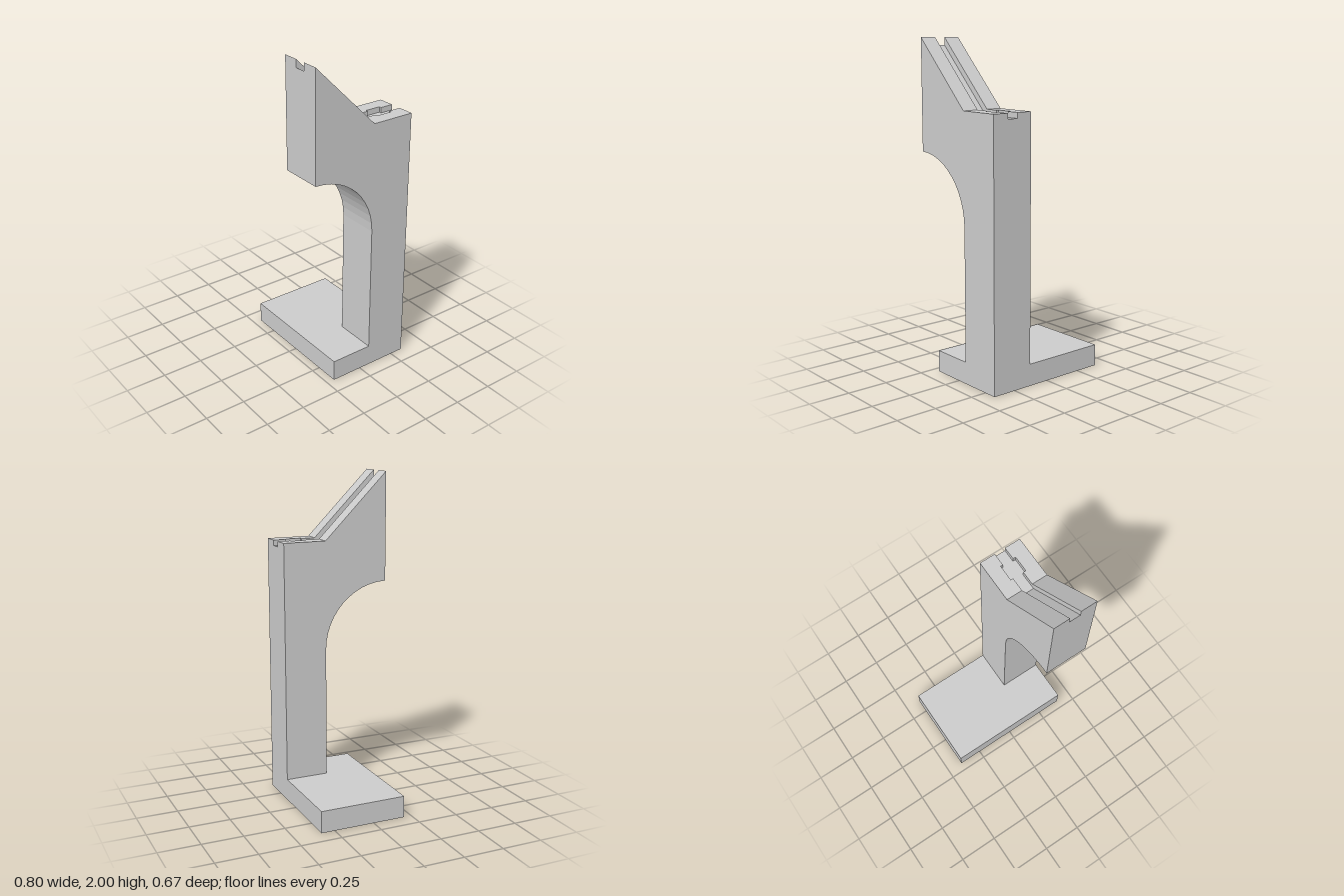
import * as THREE from 'three';
import { mergeGeometries } from 'three/addons/utils/BufferGeometryUtils.js';

const BACK = -0.333, FRONT = 0.333, POST = -0.067; // z of rear face, arm tip, post front
const BASE = 0.133, LEDGE = 1.6, TOP = 2, FLOOR = 1.567; // heights
const PZ0 = -0.253, PZ1 = -0.153; // pocket ends
const FULL = [[FRONT, TOP], [POST, LEDGE], [BACK, LEDGE]];
const POCKET = [[FRONT, TOP], [POST, LEDGE], [PZ1, LEDGE], [PZ1, FLOOR], [PZ0, FLOOR], [PZ0, LEDGE], [BACK, LEDGE]];
const GROOVE = [[FRONT, 1.953], [-0.053, FLOOR], [BACK, FLOOR]];

// Side outline [z, y]: post front, quarter-round under the arm, given top, rear face
function outline(top) {
  const pts = [[POST, BASE]];
  const steps = 12;
  for (let i = 0; i <= steps; i++) {
    const a = Math.PI - (Math.PI / 2) * (i / steps);
    pts.push([FRONT + 0.4 * Math.cos(a), 0.933 + 0.4 * Math.sin(a)]);
  }
  return [...pts, ...top, [BACK, BASE]];
}

// Outer skin of one strip of the post between two x positions
function skin(pts, x0, x1) {
  const pos = [];
  for (let i = 0; i < pts.length - 1; i++) {
    const [az, ay] = pts[i], [bz, by] = pts[i + 1];
    pos.push(x0, ay, az, x1, ay, az, x1, by, bz, x0, ay, az, x1, by, bz, x0, by, bz);
  }
  const geo = new THREE.BufferGeometry();
  geo.setAttribute('position', new THREE.Float32BufferAttribute(pos, 3));
  geo.computeVertexNormals();
  return geo;
}

// Flat wall at x, facing +x or -x
function wall(pts, x, facing) {
  const geo = new THREE.ShapeGeometry(new THREE.Shape(pts.map(([z, y]) => new THREE.Vector2(z, y))));
  geo.rotateY(-Math.PI / 2).translate(x, 0, 0);
  if (facing > 0) geo.index.array.reverse();
  const flat = geo.toNonIndexed();
  flat.deleteAttribute('uv');
  flat.computeVertexNormals();
  return flat;
}

export function createModel() {
  const group = new THREE.Group();
  const material = new THREE.MeshStandardMaterial({ color: 0xcccccc, flatShading: true });
  const add = (name, geo) => {
    const mesh = new THREE.Mesh(geo, material);
    mesh.name = name;
    group.add(mesh);
  };

  // Base plate
  const base = new THREE.BoxGeometry(0.8, BASE, 0.533);
  base.translate(0, BASE / 2, -0.0665);
  add('basePlate', base);

  // Post with overhanging arm, in strips across x
  const xs = [0.133, 0.217, 0.232, 0.3, 0.317, 0.4];
  const tops = [FULL, POCKET, GROOVE, POCKET, FULL];
  const skins = tops.map((top, i) => skin(outline(top), xs[i], xs[i + 1]));
  add('postAndArm', mergeGeometries([
    ...skins,
    wall(outline(FULL), xs[0], -1),
    wall(outline(FULL), xs[5], 1),
  ]));

  // Side walls of the groove and its wider pocket
  const rear = [[BACK, FLOOR], [PZ0, FLOOR], [PZ0, LEDGE], [BACK, LEDGE]];
  const pocket = [[PZ0, FLOOR], [PZ1, FLOOR], [PZ1, LEDGE], [PZ0, LEDGE]];
  const front = [[PZ1, FLOOR], [-0.053, FLOOR], [FRONT, 1.953], [FRONT, TOP], [POST, LEDGE], [PZ1, LEDGE]];
  const walls = [];
  for (const [inner, outer, facing] of [[xs[2], xs[1], 1], [xs[3], xs[4], -1]]) {
    walls.push(wall(rear, inner, facing), wall(front, inner, facing), wall(pocket, outer, facing));
  }
  add('grooveWalls', mergeGeometries(walls));

  return group;
}
